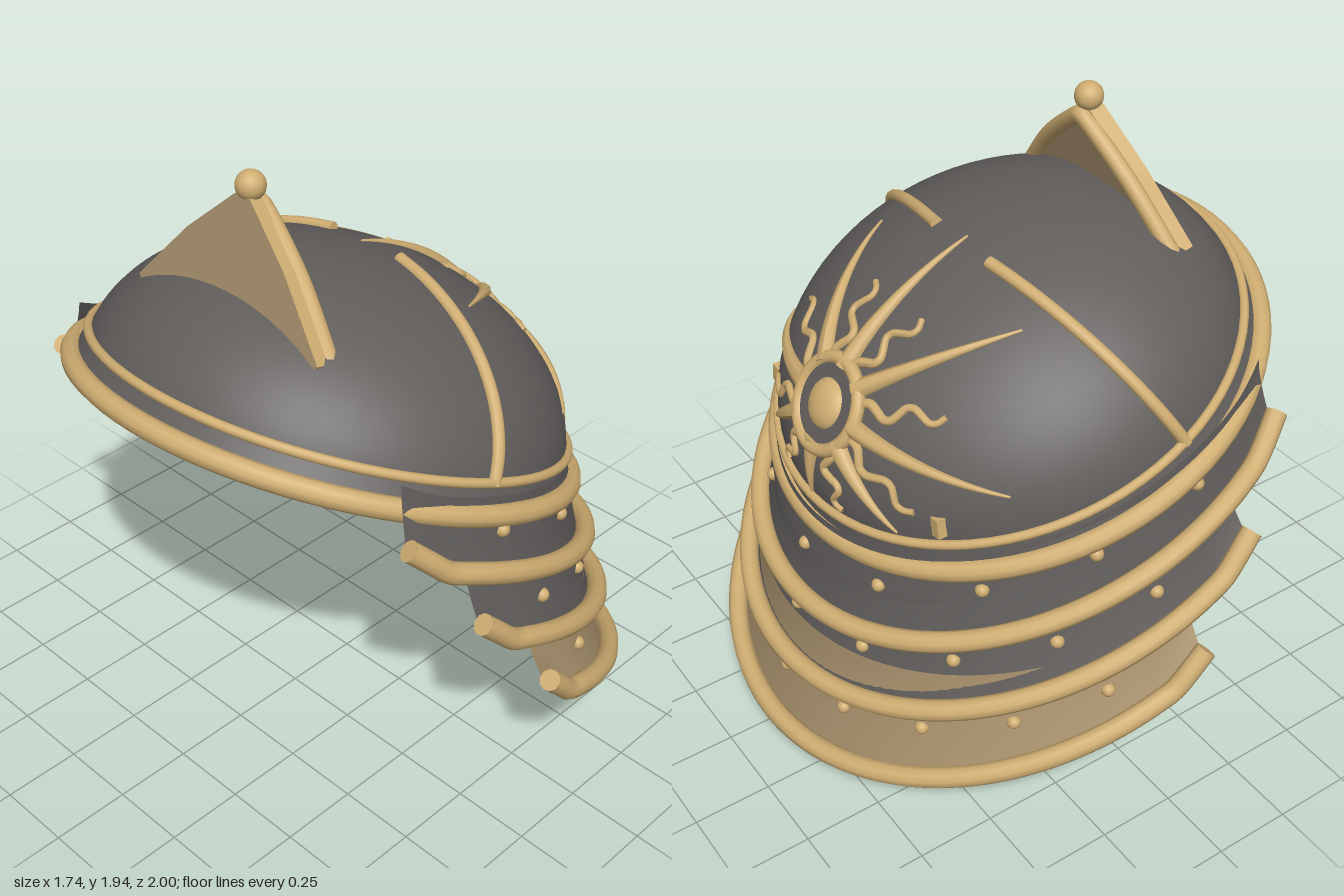
import * as THREE from 'three';

const V = (x, y, z) => new THREE.Vector3(x, y, z);
const Z = V(0, 0, 1);

export function createModel() {
  const mat = (name, color) => Object.assign(new THREE.MeshStandardMaterial({ color }), { name });
  const gold = mat('gold trim', 0xd0ae72);
  const steel = mat('dark steel', 0x605d5b);
  steel.side = THREE.DoubleSide;
  const brass = mat('brass plate', 0xa7906c);
  brass.side = THREE.DoubleSide;

  const model = new THREE.Group();
  model.name = 'helmet';

  const add = (parent, name, geo, material, pos) => {
    const m = new THREE.Mesh(geo, material);
    m.name = name;
    if (pos) m.position.copy(pos);
    parent.add(m);
    return m;
  };

  // Round bar along points, optionally tapering, with flat end caps
  const bar = (parent, name, pts, r0, r1 = r0, seg = 40, sides = 10) => {
    const curve = new THREE.CatmullRomCurve3(pts);
    const geo = new THREE.TubeGeometry(curve, seg, r0, sides, false);
    const p = geo.attributes.position;
    if (r1 !== r0) {
      const v = V(0, 0, 0);
      for (let i = 0; i < p.count; i++) {
        const t = Math.floor(i / (sides + 1)) / seg;
        const c = curve.getPointAt(t);
        v.fromBufferAttribute(p, i).sub(c).multiplyScalar(1 + (r1 / r0 - 1) * t).add(c);
        p.setXYZ(i, v.x, v.y, v.z);
      }
      geo.computeVertexNormals();
    }
    add(parent, name, geo, gold);
    for (const [t, sign, r] of [[0, -1, r0], [1, 1, r1]]) {
      const cap = add(parent, name + 'Cap', new THREE.CircleGeometry(r, sides), gold, curve.getPointAt(t));
      cap.quaternion.setFromUnitVectors(Z, curve.getTangentAt(t).multiplyScalar(sign));
    }
  };

  // Tilted skull cap
  const head = new THREE.Group();
  head.name = 'skullCap';
  head.position.set(-0.1, 1.048, 0);
  head.rotation.z = -0.38;
  model.add(head);
  const A = 0.765, H = 0.535;
  const onDome = (d, lift = 1) => V(d.x * A, d.y * H, d.z * A).multiplyScalar(lift);

  const dome = new THREE.SphereGeometry(1, 64, 32, 0, Math.PI * 2, 0, Math.PI / 2);
  dome.scale(A, H, A);
  add(head, 'dome', dome, steel);
  const skirt = [[0.795, 0], [0.775, 0.04], [0.758, 0.085]].map(([x, y]) => new THREE.Vector2(x, y));
  add(head, 'skirt', new THREE.LatheGeometry(skirt, 64), steel);
  const ring = (name, r, tube, y) => {
    const g = new THREE.TorusGeometry(r, tube, 10, 80);
    g.rotateX(Math.PI / 2);
    add(head, name, g, gold, V(0, y, 0));
  };
  ring('brimRing', 0.795, 0.034, 0);
  ring('domeRing', 0.762, 0.015, 0.084);

  // Side ribs
  for (const s of [1, -1]) {
    const pts = [];
    for (let i = 0; i <= 8; i++) {
      const f = 0.18 + (1.43 - 0.18) * i / 8;
      const d = V(-0.02 - 0.13 * i / 8, Math.cos(f), s * Math.sin(f)).normalize();
      pts.push(onDome(d, 1.005));
    }
    bar(head, 'sideRib', pts, 0.02);
  }

  // Sun emblem laid over the dome
  const C = V(0.757, 0.653, 0), N = V(-0.653, 0.757, 0);
  const sunPoint = (rho, b, lift = 1.003) => onDome(
    C.clone().multiplyScalar(Math.cos(rho))
      .addScaledVector(N, Math.sin(rho) * Math.cos(b))
      .addScaledVector(Z, Math.sin(rho) * Math.sin(b)), lift);
  const ray = (deg, end, wavy) => {
    const pts = [];
    for (let i = 0; i <= 12; i++) {
      const t = i / 12, rho = 0.18 + (end - 0.18) * t;
      const sway = wavy ? 0.035 * Math.sin(t * Math.PI * 4) / rho : 0;
      pts.push(sunPoint(rho, deg * Math.PI / 180 + sway));
    }
    bar(head, wavy ? 'wavyRay' : 'straightRay', pts, wavy ? 0.016 : 0.032, wavy ? 0.01 : 0.004, 32, 8);
  };
  const straight = [[0, 0.91], [39, 0.89], [93, 0.9], [132, 0.67], [180, 0.54]];
  const waves = [[18, 0.56], [66, 0.57], [116, 0.62], [156, 0.53]];
  for (const [list, wavy] of [[straight, false], [waves, true]])
    for (const [deg, end] of list) {
      ray(deg, end, wavy);
      if (deg % 180) ray(-deg, end, wavy);
    }

  const sun = new THREE.Group();
  sun.name = 'sunDisc';
  sun.position.copy(sunPoint(0, 0, 0.995));
  sun.quaternion.setFromUnitVectors(Z, V(C.x / A, C.y / H, 0).normalize());
  head.add(sun);
  add(sun, 'sunRing', new THREE.TorusGeometry(0.14, 0.022, 10, 40), gold);
  add(sun, 'sunPlate', new THREE.CircleGeometry(0.135, 40), steel, V(0, 0, 0.01));
  const boss = add(sun, 'sunBoss', new THREE.SphereGeometry(0.08, 24, 16), gold);
  boss.scale.z = 0.5;

  // Small pegs below the sun
  for (const s of [1, -1]) {
    const peg = add(model, 'peg', new THREE.BoxGeometry(0.03, 0.062, 0.035), gold, V(0.483, 0.967, s * 0.466));
    peg.rotation.x = s * -0.15;
  }

  // Overlapping neck guard plates: arc end angle, radii, heights at the back, slopes, rivet row
  const lames = [
    { name: 'upperLame', max: 117.7, r0: 0.782, r1: 0.832, y0: 0.805, y1: 0.495, s0: 0.405, s1: 0.455, row: 0.43, m: steel },
    { name: 'middleLame', max: 104, r0: 0.803, r1: 0.888, y0: 0.67, y1: 0.26, s0: 0.29, s1: 0.455, row: 0.55, m: steel },
    { name: 'lowerLame', max: 90, r0: 0.862, r1: 0.945, y0: 0.42, y1: 0.016, s0: 0.27, s1: 0.475, row: 0.53, m: brass },
  ];
  const rivet = new THREE.SphereGeometry(0.022, 12, 8, 0, Math.PI);
  for (const l of lames) {
    const angle = a => a * l.max * Math.PI / 180;
    const outward = a => V(Math.cos(angle(a)), 0, Math.sin(angle(a)));
    const at = (a, t) => {
      const r = l.r0 + (l.r1 - l.r0) * Math.pow(t, 1.4);
      const k = 1 - Math.cos(angle(a));
      const top = l.y0 + l.s0 * l.r0 * k, low = l.y1 + l.s1 * l.r1 * k;
      const flare = 0.06 * (0.4 + 0.6 * t) * Math.max(0, (Math.abs(a) - 0.93) / 0.07);
      return outward(a).multiplyScalar(r).add(V(-0.13, top + (low - top) * t + flare, 0));
    };
    const geo = new THREE.PlaneGeometry(1, 1, 80, 8);
    const p = geo.attributes.position, uv = geo.attributes.uv;
    for (let i = 0; i < p.count; i++) {
      const v = at(1 - uv.getX(i) * 2, 1 - uv.getY(i));
      p.setXYZ(i, v.x, v.y, v.z);
    }
    geo.computeVertexNormals();
    add(model, l.name, geo, l.m);

    // Edge bar seated on the outer face
    const edge = [];
    for (let i = 0; i <= 56; i++) {
      const a = i / 28 - 1;
      edge.push(at(a, 1).addScaledVector(outward(a), 0.022).add(V(0, 0.017, 0)));
    }
    bar(model, l.name + 'Edge', edge, 0.033, 0.033, 112);

    // Half-round rivets
    for (let i = -4; i <= 4; i++) {
      const out = outward(i / 5);
      const m = add(model, 'rivet', rivet, gold, at(i / 5, l.row).addScaledVector(out, 0.006));
      m.quaternion.setFromUnitVectors(Z, out);
    }
  }

  // Leaning triangular crest: gold-edged plate with a bar along its rear edge
  const crest = new THREE.Group();
  crest.name = 'crest';
  crest.position.set(-0.445, 1.52, 0);
  crest.rotation.z = -0.24;
  model.add(crest);
  const tri = new THREE.Shape([[-0.375, -0.01], [-0.3, -0.1], [0.3, -0.1], [0.375, -0.01], [0.2, 0.195], [0.03, 0.35],
    [-0.03, 0.35], [-0.2, 0.195]].map(([x, y]) => new THREE.Vector2(x, y)));
  const plate = new THREE.ExtrudeGeometry(tri, { depth: 0.05, bevelEnabled: false });
  plate.rotateY(Math.PI / 2);
  add(crest, 'crestPlate', plate, [brass, gold], V(-0.045, 0, 0));
  const half = [[-0.02, 0.367], [0.175, 0.2], [0.315, 0.035]];
  const rim = [...half.map(([y, z]) => V(0.02, y, z)), V(0.02, 0.335, 0),
    ...half.reverse().map(([y, z]) => V(0.02, y, -z))];
  bar(crest, 'crestEdge', rim, 0.027, 0.027, 60);
  add(crest, 'crestBall', new THREE.SphereGeometry(0.045, 20, 14), gold, V(-0.02, 0.38, 0));

  return model;
}
